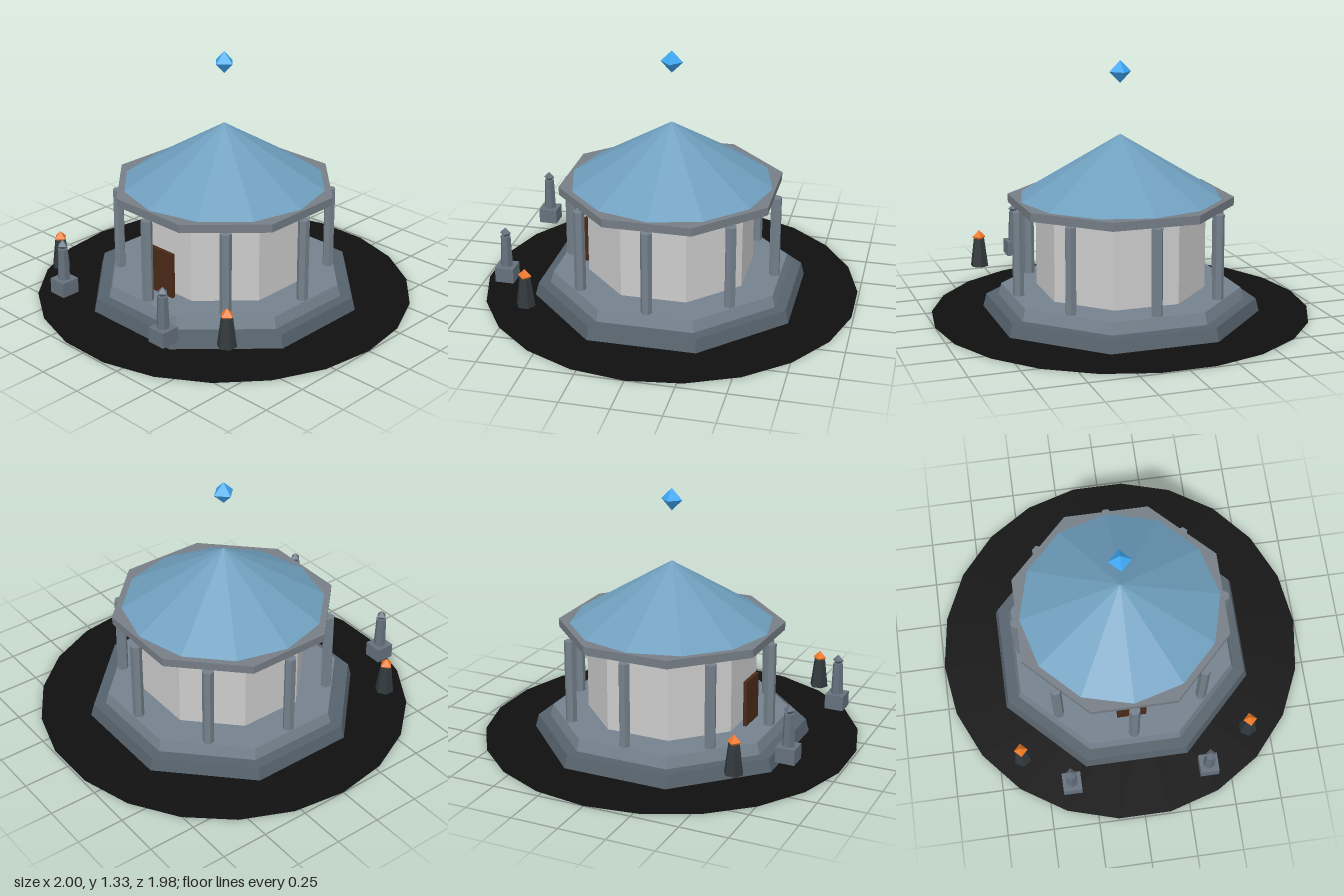
import * as THREE from 'three';

const mat = (color, side = THREE.FrontSide) =>
  new THREE.MeshStandardMaterial({ color, flatShading: true, side });

const colors = {
  ground: mat(0x101010, THREE.DoubleSide),
  lowerStep: mat(0x56626c),
  upperStep: mat(0x74828e),
  pillar: mat(0x74808b),
  wall: mat(0xcccccc),
  eave: mat(0x767e86),
  roof: mat(0x6f9fbe),
  door: mat(0x4a2a18),
  stone: mat(0x65717d),
  iron: mat(0x32383c),
  flame: mat(0xf07a28),
  crystal: mat(0x3fa9f5),
};

function add(parent, name, geometry, material, x = 0, y = 0, z = 0) {
  const mesh = new THREE.Mesh(geometry, material);
  mesh.name = name;
  mesh.position.set(x, y, z);
  parent.add(mesh);
  return mesh;
}

// Prism or frustum between two heights
function frustum(parent, name, rTop, rBottom, y0, y1, sides, material) {
  const geometry = new THREE.CylinderGeometry(rTop, rBottom, y1 - y0, sides);
  return add(parent, name, geometry, material, 0, (y0 + y1) / 2, 0);
}

// Octagon with flat sides towards the axes, sized by centre-to-side distance
function octagon(parent, name, top, bottom, y0, y1, material) {
  const k = 1 / Math.cos(Math.PI / 8);
  const mesh = frustum(parent, name, top * k, bottom * k, y0, y1, 8, material);
  mesh.rotation.y = Math.PI / 8;
  return mesh;
}

export function createModel() {
  const model = new THREE.Group();
  model.name = 'pavilion';
  const floor = 0.13;
  const eaveBottom = 0.575;
  const eaveTop = 0.62;

  // Flat ground ring
  const ring = new THREE.RingGeometry(0.45, 1, 22);
  ring.rotateX(-Math.PI / 2);
  add(model, 'groundRing', ring, colors.ground);

  // Two octagonal steps
  octagon(model, 'lowerStep', 0.663, 0.68, 0.002, 0.07, colors.lowerStep);
  octagon(model, 'upperStep', 0.588, 0.604, 0.07, floor, colors.upperStep);

  // Hall and door
  octagon(model, 'walls', 0.413, 0.413, floor, eaveBottom, colors.wall);
  add(model, 'door', new THREE.BoxGeometry(0.16, 0.245, 0.02), colors.door, 0, 0.2525, 0.453);

  // Eight hexagonal pillars, each with a flat side facing out
  for (let i = 0; i < 8; i++) {
    const a = (i * Math.PI) / 4;
    const pillar = frustum(model, 'pillar', 0.03, 0.03, floor, eaveBottom, 6, colors.pillar);
    pillar.position.x = 0.557 * Math.cos(a);
    pillar.position.z = 0.557 * Math.sin(a);
    pillar.rotation.y = -a;
  }

  // Eave and roof
  octagon(model, 'eave', 0.55, 0.548, eaveBottom, eaveTop, colors.eave);
  add(model, 'roof', new THREE.ConeGeometry(0.535, 0.327, 12), colors.roof, 0, eaveTop + 0.1635, 0);

  // Floating crystal
  add(model, 'crystal', new THREE.OctahedronGeometry(0.059), colors.crystal, 0, 1.272, 0);

  // Statues and braziers on both sides of the entrance
  for (const side of [-1, 1]) {
    const statue = new THREE.Group();
    statue.name = 'statue';
    statue.position.set(side * 0.37, floor, 0.8);
    add(statue, 'pedestal', new THREE.BoxGeometry(0.1, 0.08, 0.1), colors.stone, 0, 0.04, 0);
    frustum(statue, 'statueBody', 0.027, 0.033, 0.08, 0.248, 6, colors.stone);
    add(statue, 'statueHead', new THREE.OctahedronGeometry(0.03), colors.stone, 0, 0.266, 0);
    model.add(statue);

    const brazier = new THREE.Group();
    brazier.name = 'brazier';
    brazier.position.set(side * 0.618, floor, 0.615);
    frustum(brazier, 'brazierStand', 0.03, 0.05, 0, 0.155, 6, colors.iron);
    add(brazier, 'flame', new THREE.OctahedronGeometry(0.037), colors.flame, 0, 0.166, 0);
    model.add(brazier);
  }

  return model;
}
